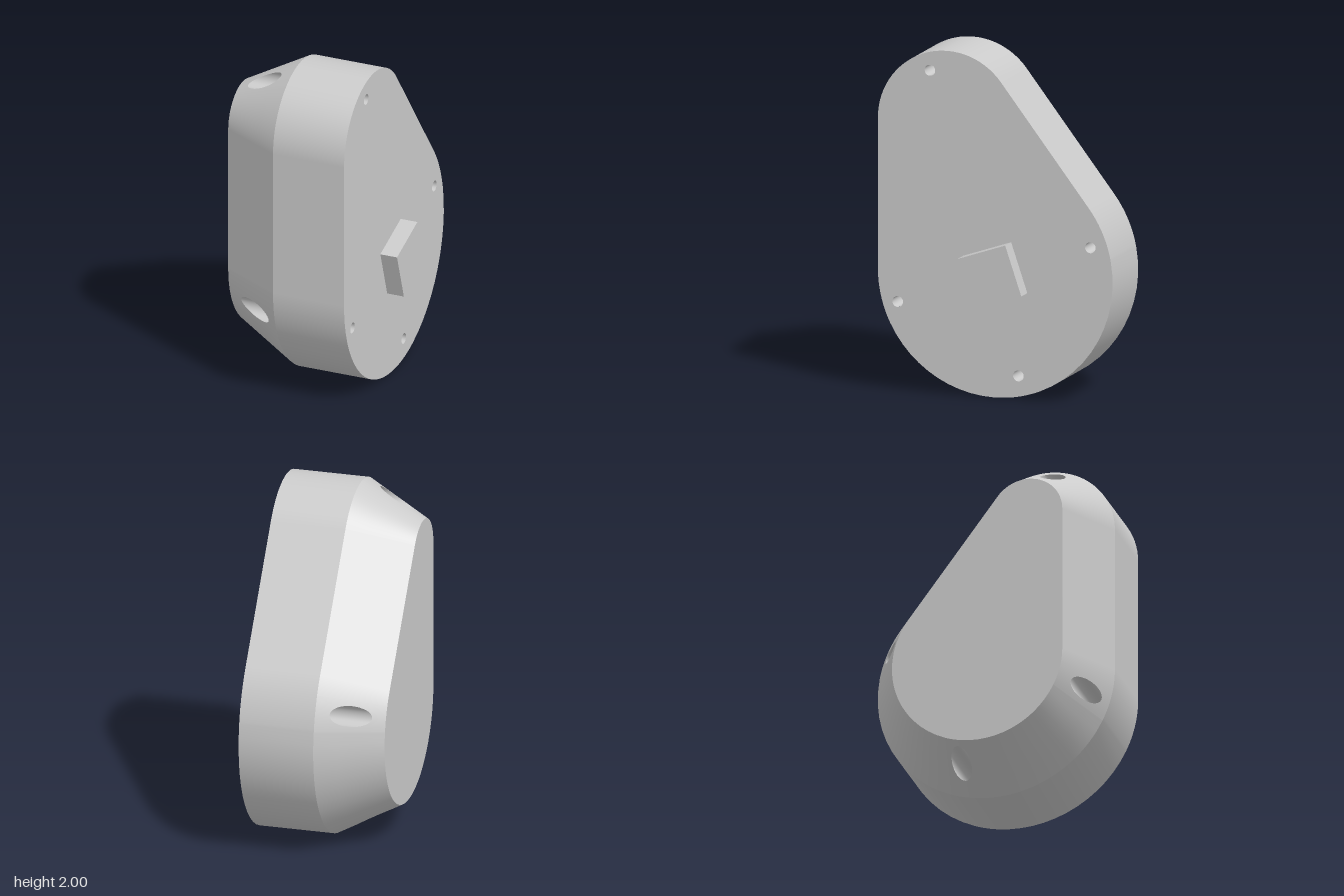
import * as THREE from 'three';

// Profile plane: x across, y up, extruded along z; the whole group is turned to face +x at the end.
const FRONT = 0.353, EDGE = -0.09, BACK = -0.457, INSET = 0.2, FLOOR = 0.1;
const BORE = 0.032, SINK = 0.06, N = 12;

// Two arcs joined by tangent lines, each with its screw holes (in order along the arc)
const SPLIT = 0.65;
const arcs = [
  { c: [-0.295, 1.585], r: 0.415, from: SPLIT, to: Math.PI, pad: 0.26, holes: [[-0.395, 1.88]] },
  { c: [0, 0.71], r: 0.71, from: Math.PI, to: SPLIT + 2 * Math.PI, pad: 0.15,
    holes: [[-0.59, 0.52], [0.14, 0.135], [0.575, 0.91]] },
];

const mat = new THREE.MeshStandardMaterial({ color: 0xcccccc });

// Quad grid; visible side is (u direction) x (v direction)
function grid(nu, nv, fn) {
  const pos = [], index = [];
  for (let j = 0; j <= nv; j++) for (let i = 0; i <= nu; i++) pos.push(...fn(i, j / nv));
  for (let j = 0; j < nv; j++) for (let i = 0; i < nu; i++) {
    const a = j * (nu + 1) + i, b = a + 1, c = a + nu + 1, d = c + 1;
    index.push(a, b, d, a, d, c);
  }
  const g = new THREE.BufferGeometry();
  g.setAttribute('position', new THREE.Float32BufferAttribute(pos, 3));
  g.setIndex(index);
  g.computeVertexNormals();
  return g;
}

const polar = (c, r, t) => [c[0] + r * Math.cos(t), c[1] + r * Math.sin(t)];
const mix = (a, b, t) => a + (b - a) * t;
const chamferZ = (inset) => mix(EDGE, BACK, inset / INSET);

export function createModel() {
  const model = new THREE.Group();
  model.name = 'roundedHousing';
  const add = (name, geometry) => {
    const m = new THREE.Mesh(geometry, mat);
    m.name = name;
    model.add(m);
    return m;
  };

  // Sample the outline, marking the stretches that carry a screw hole
  const samples = [], patches = [];
  for (const arc of arcs) {
    const stops = [arc.from];
    for (const h of arc.holes) {
      let t = Math.atan2(h[1] - arc.c[1], h[0] - arc.c[0]);
      while (t < arc.from) t += 2 * Math.PI;
      stops.push(t - arc.pad, t + arc.pad);
      patches.push({ arc, h, t0: t - arc.pad, t1: t + arc.pad });
    }
    stops.push(arc.to);
    for (let s = 0; s < stops.length - 1; s++) {
      for (let i = 0; i < N; i++) {
        samples.push({ arc, t: mix(stops[s], stops[s + 1], i / N), holed: s % 2 === 1 });
      }
    }
    samples.push({ arc, t: arc.to, holed: false });
  }
  samples.push(samples[0]);
  const at = (s, inset) => polar(s.arc.c, s.arc.r - inset, s.t);
  const last = samples.length - 1;

  // Straight side wall
  add('sideWall', grid(last, 1, (i, v) => [...at(samples[i], 0), mix(EDGE, FRONT, v)]));

  // Flat narrow end
  add('narrowEnd', grid(last, 1, (i, v) => {
    const p = at(samples[i], INSET);
    return [mix(-0.05, p[0], v), mix(0.95, p[1], v), BACK];
  }));

  // Chamfer between the holes
  let run = [];
  samples.forEach((s, k) => {
    run.push(s);
    if (s.holed || k === last) {
      if (run.length > 1) {
        const strip = run;
        add('chamfer', grid(strip.length - 1, 3, (i, v) => {
          const inset = INSET * (1 - v);
          return [...at(strip[i], inset), chamferZ(inset)];
        }));
      }
      run = [];
    }
    // a hole stretch restarts the strip at its far end
    if (s.holed && !samples[k + 1].holed) run = [];
  });

  // Screw holes: chamfer around the mouth, wide sink, floor ring, narrow bore
  const face = new THREE.Shape(samples.slice(0, -1).map((s) => new THREE.Vector2(...at(s, 0))));
  for (const { arc, h, t0, t1 } of patches) {
    const rim = [];
    for (let i = 0; i <= 4 * N; i++) {
      const side = Math.floor(i / N) % 4, f = (i % N) / N;
      const t = [mix(t0, t1, f), t1, mix(t1, t0, f), t0][side];
      const inset = [0, f * INSET, INSET, (1 - f) * INSET][side];
      rim.push(polar(arc.c, arc.r - inset, t));
    }
    const angle = rim.map((p) => Math.atan2(p[1] - h[1], p[0] - h[0]));
    const depth = (p) => chamferZ(arc.r - Math.hypot(p[0] - arc.c[0], p[1] - arc.c[1]));
    const around = (i, r) => polar(h, r, angle[i]);

    add('holeMouth', grid(4 * N, 4, (i, v) => {
      const q = around(i, SINK);
      const p = [mix(q[0], rim[i][0], v), mix(q[1], rim[i][1], v)];
      return [...p, depth(p)];
    }));
    add('holeSink', grid(4 * N, 1, (i, v) => {
      const p = around(i, SINK);
      return [...p, mix(FLOOR, depth(p), v)];
    }));
    add('holeFloor', grid(4 * N, 1, (i, v) => [...around(i, mix(BORE, SINK, v)), FLOOR]));
    add('holeBore', grid(4 * N, 1, (i, v) => [...around(i, BORE), mix(FRONT, FLOOR, v)]));

    const hole = new THREE.Path();
    hole.absarc(h[0], h[1], BORE, 0, 2 * Math.PI, true);
    face.holes.push(hole);
  }

  // Flat mounting face with the bores cut through
  add('mountingFace', new THREE.ShapeGeometry(face, 16)).position.z = FRONT;

  // Square peg
  const peg = add('squarePeg', new THREE.BoxGeometry(0.306, 0.306, 0.104));
  peg.position.set(0, 0.717, FRONT + 0.052);
  peg.rotation.z = 0.325;

  model.rotation.y = Math.PI / 2;
  const root = new THREE.Group();
  root.name = 'model';
  root.add(model);
  return root;
}
